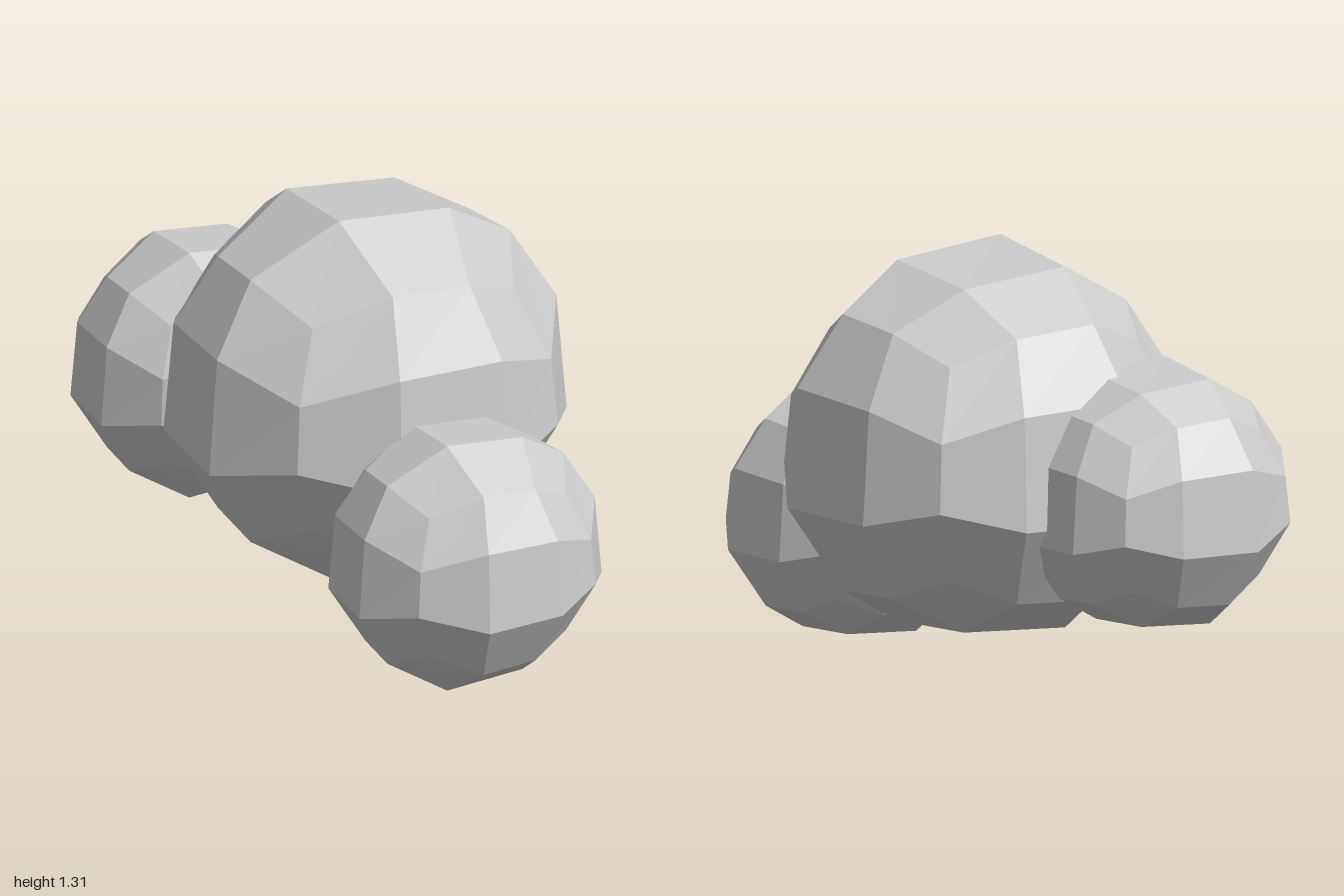
import * as THREE from 'three';

const material = new THREE.MeshStandardMaterial({ color: 0xcccccc, flatShading: true });

// Faceted ball: a 3x3x3 cube grid pushed out to a slightly lopsided ellipsoid
function facetedBall() {
  const geo = new THREE.BoxGeometry(2, 2, 2, 3, 3, 3);
  const pos = geo.attributes.position;
  const radii = new THREE.Vector3(0.647, 0.63, 0.624);
  const edgeSpacing = [0.97, 0.78, 0.93]; // grid lines sit closer together along cube edges
  const roundness = { 1: 1, 2: 0.972, 3: 0.908 }; // softened cube edges and corners
  const v = new THREE.Vector3();
  for (let i = 0; i < pos.count; i++) {
    // z is mirrored so the lopsidedness leans the same way on all three axes
    const grid = [pos.getX(i), pos.getY(i), -pos.getZ(i)];
    const isOuter = (c) => Math.abs(c) > 0.9;
    const outer = grid.filter(isOuter).length;
    const positiveInner = grid.filter((c) => !isOuter(c) && c > 0).length;
    const [x, y, z] = grid.map((c, axis) => {
      if (isOuter(c)) return Math.sign(c);
      return (c < 0 ? -0.275 : 0.37) * (outer === 2 ? edgeSpacing[axis] : 1);
    });
    v.set(x, y, -z).normalize().multiply(radii);
    v.multiplyScalar(roundness[outer] * 0.974 ** positiveInner);
    pos.setXYZ(i, v.x, v.y, v.z);
  }
  const flat = geo.toNonIndexed();
  flat.computeVertexNormals();
  return flat;
}

export function createModel() {
  const group = new THREE.Group();
  const geo = facetedBall();
  // name, centre, scale
  const balls = [
    ['largeBall', [0.027, 0.725, -0.062], 1],
    ['frontBall', [0.025, 0.4, 0.608], 0.678],
    ['backBall', [-0.226, 0.625, -0.611], 0.678],
  ];
  for (const [name, centre, scale] of balls) {
    const mesh = new THREE.Mesh(geo, material);
    mesh.name = name;
    mesh.position.set(...centre);
    mesh.scale.setScalar(scale);
    group.add(mesh);
  }
  return group;
}
